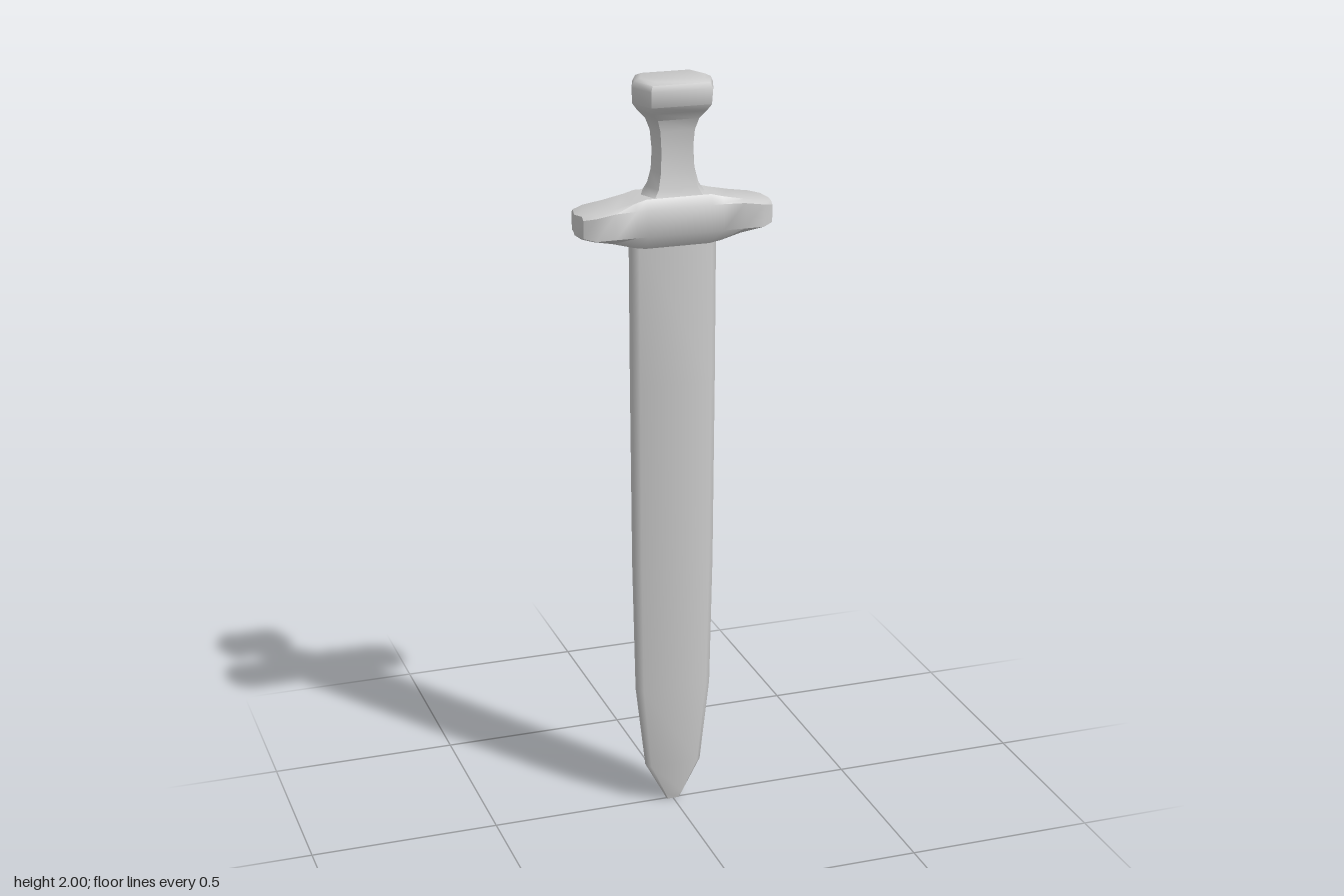
import * as THREE from 'three';
import { toCreasedNormals } from 'three/addons/utils/BufferGeometryUtils.js';

const material = new THREE.MeshStandardMaterial({ color: 0xcccccc });

// Skin a list of rings (each counter-clockwise about the loft axis) and cap both ends.
function loft(name, rings, crease) {
  const n = rings[0].length, last = (rings.length - 1) * n;
  const positions = rings.flat(2), index = [];
  for (let r = 0; r < rings.length - 1; r++) {
    for (let i = 0; i < n; i++) {
      const a = r * n + i, b = r * n + (i + 1) % n;
      index.push(a, b, a + n, b, b + n, a + n);
    }
  }
  for (let i = 1; i < n - 1; i++) {
    index.push(0, i + 1, i, last, last + i, last + i + 1);
  }
  const geometry = new THREE.BufferGeometry();
  geometry.setAttribute('position', new THREE.Float32BufferAttribute(positions, 3));
  geometry.setIndex(index);
  const mesh = new THREE.Mesh(toCreasedNormals(geometry, crease), material);
  mesh.name = name;
  return mesh;
}

// Six-sided section with a ridge at each side
const hexRing = ([y, w, d]) => [
  [0.75 * w, y, d], [w, y, 0], [0.75 * w, y, -d],
  [-0.75 * w, y, -d], [-w, y, 0], [-0.75 * w, y, d],
];

// Flat blade section with narrow bevelled edges
const bladeRing = ([y, w, d]) => [
  [0.86 * w, y, d], [w, y, 0.4 * d], [w, y, -0.4 * d], [0.86 * w, y, -d],
  [-0.86 * w, y, -d], [-w, y, -0.4 * d], [-w, y, 0.4 * d], [-0.86 * w, y, d],
];

// Guard section: bevelled top, upright sides, narrower underside
const guardRing = ([x, top, bottom, d]) => {
  const high = Math.min(1.68, top - 0.008), low = Math.max(1.612, bottom + 0.006);
  return [
    [x, top, -0.78 * d], [x, top, 0.78 * d], [x, high, d], [x, low, d],
    [x, bottom, 0.6 * d], [x, bottom, -0.6 * d], [x, low, -d], [x, high, -d],
  ];
};

export function createModel() {
  const group = new THREE.Group();
  group.name = 'shortSword';

  // Blade: [y, half width, half thickness]
  group.add(loft('blade', [
    [0, 0.018, 0.006], [0.02, 0.028, 0.011], [0.11, 0.076, 0.017],
    [0.34, 0.102, 0.021], [0.7, 0.109, 0.025], [1.2, 0.112, 0.027], [1.6, 0.113, 0.028],
  ].map(bladeRing), 0.9));

  // Crossguard: [x, top, bottom, half depth], mirrored to both sides
  const half = [
    [0.085, 1.705, 1.575, 0.066], [0.115, 1.697, 1.58, 0.066], [0.17, 1.686, 1.595, 0.066],
    [0.222, 1.678, 1.605, 0.066], [0.25, 1.672, 1.612, 0.05], [0.258, 1.669, 1.616, 0.004],
  ];
  const mirrored = half.map(([x, ...rest]) => [-x, ...rest]).reverse();
  group.add(loft('crossguard', [...mirrored, ...half].map(guardRing), 0.8));

  // Grip and pommel in one skin: [y, half width, half depth]
  group.add(loft('gripAndPommel', [
    [1.68, 0.11, 0.06], [1.703, 0.085, 0.051], [1.725, 0.069, 0.046], [1.765, 0.058, 0.039],
    [1.82, 0.055, 0.036], [1.87, 0.06, 0.04], [1.9, 0.072, 0.047], [1.92, 0.092, 0.06],
    [1.938, 0.105, 0.071], [1.978, 0.107, 0.075], [1.993, 0.1, 0.069], [2, 0.085, 0.057],
  ].map(hexRing), 1.1));

  return group;
}
